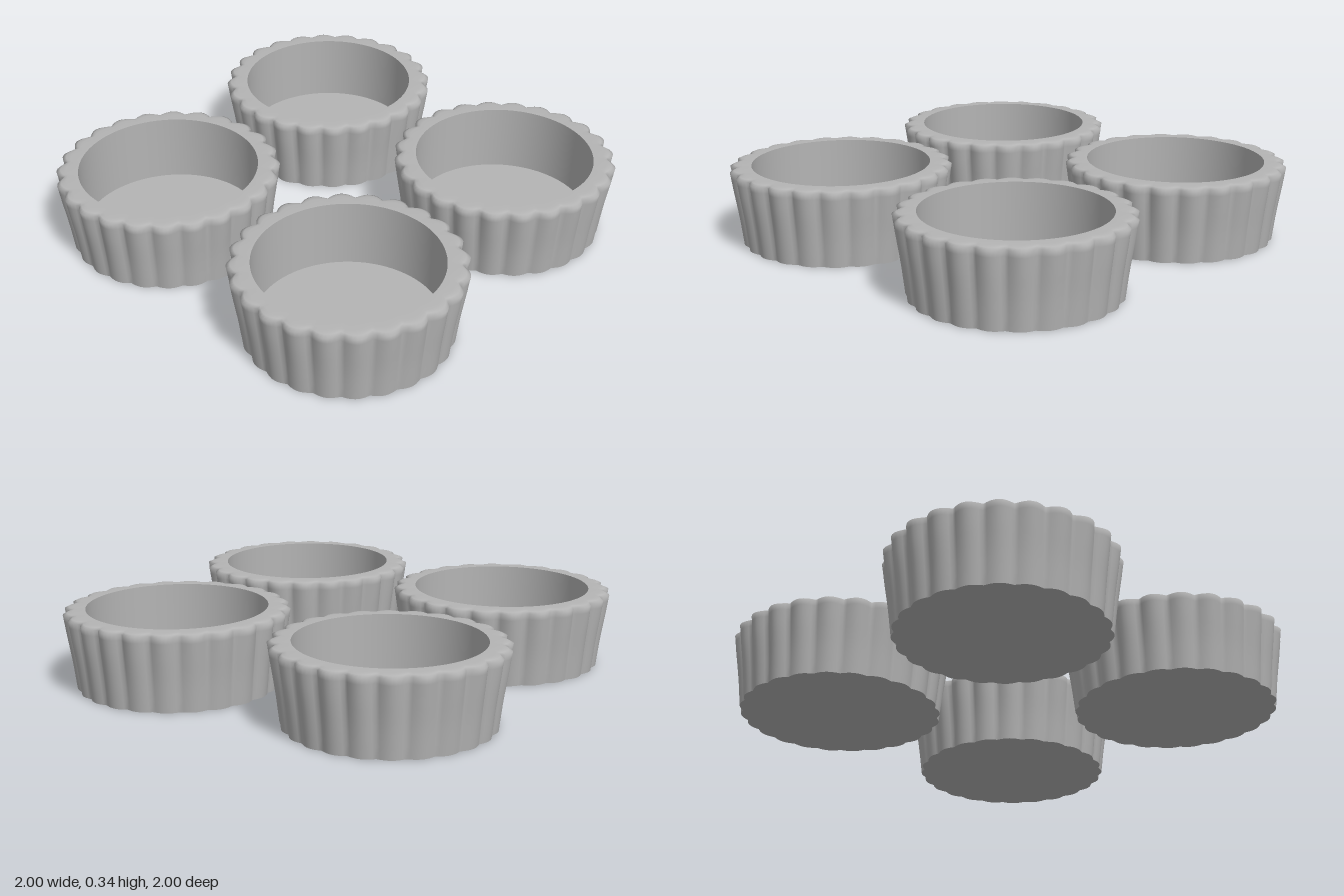
import * as THREE from 'three';

const FLUTES = 24, SEG = FLUTES * 8;
const INNER_R = 0.387, FLOOR_Y = 0.04, TOP_Y = 0.338;

// Surface through fluted rings; each row is [peak radius, flute depth, y]
function flutedSurface(rows) {
  const pos = [], index = [];
  for (const [radius, depth, y] of rows) {
    for (let i = 0; i < SEG; i++) {
      const a = (i / SEG) * Math.PI * 2;
      const r = radius - depth * (1 - Math.abs(Math.cos((a * FLUTES) / 2)));
      pos.push(r * Math.cos(a), y, r * Math.sin(a));
    }
  }
  for (let k = 0; k < rows.length - 1; k++) {
    for (let i = 0; i < SEG; i++) {
      const j = (i + 1) % SEG;
      const a = k * SEG + i, b = k * SEG + j, c = a + SEG, d = b + SEG;
      index.push(a, c, b, b, c, d);
    }
  }
  const geo = new THREE.BufferGeometry();
  geo.setAttribute('position', new THREE.Float32BufferAttribute(pos, 3));
  geo.setIndex(index);
  geo.computeVertexNormals();
  return geo;
}

export function createModel() {
  const metal = new THREE.MeshStandardMaterial({ color: 0xb4b4b4 });
  metal.name = 'tin grey';

  // Flared fluted wall, rolling over into the flat rim
  const wall = flutedSurface([
    [0.436, 0.014, 0],
    [0.442, 0.015, 0.05],
    [0.448, 0.017, 0.1],
    [0.455, 0.019, 0.15],
    [0.463, 0.022, 0.2],
    [0.471, 0.025, 0.25],
    [0.478, 0.028, 0.3],
    [0.482, 0.03, 0.326],
    [0.465, 0.024, 0.334],
    [0.44, 0.012, TOP_Y],
    [INNER_R, 0, TOP_Y],
  ]);

  // Straight inside wall
  const inside = flutedSurface([[INNER_R, 0, TOP_Y], [INNER_R, 0, FLOOR_Y]]);

  // Flat scalloped underside
  const underside = flutedSurface([[0.001, 0, 0], [0.436, 0.014, 0]]);

  const floor = new THREE.CircleGeometry(INNER_R, SEG);
  floor.rotateX(-Math.PI / 2);
  floor.translate(0, FLOOR_Y, 0);

  const parts = { flutedWall: wall, insideWall: inside, underside, floor };

  // Four tins in a square
  const model = new THREE.Group();
  model.name = 'tartTins';
  for (const [xName, x] of [['Right', -0.518], ['Left', 0.518]]) {
    for (const [zName, z] of [['back', -0.518], ['front', 0.518]]) {
      const tin = new THREE.Group();
      tin.name = `${zName}${xName}Tin`;
      for (const [name, geo] of Object.entries(parts)) {
        const mesh = new THREE.Mesh(geo, metal);
        mesh.name = name;
        tin.add(mesh);
      }
      tin.position.set(x, 0, z);
      model.add(tin);
    }
  }
  return model;
}
